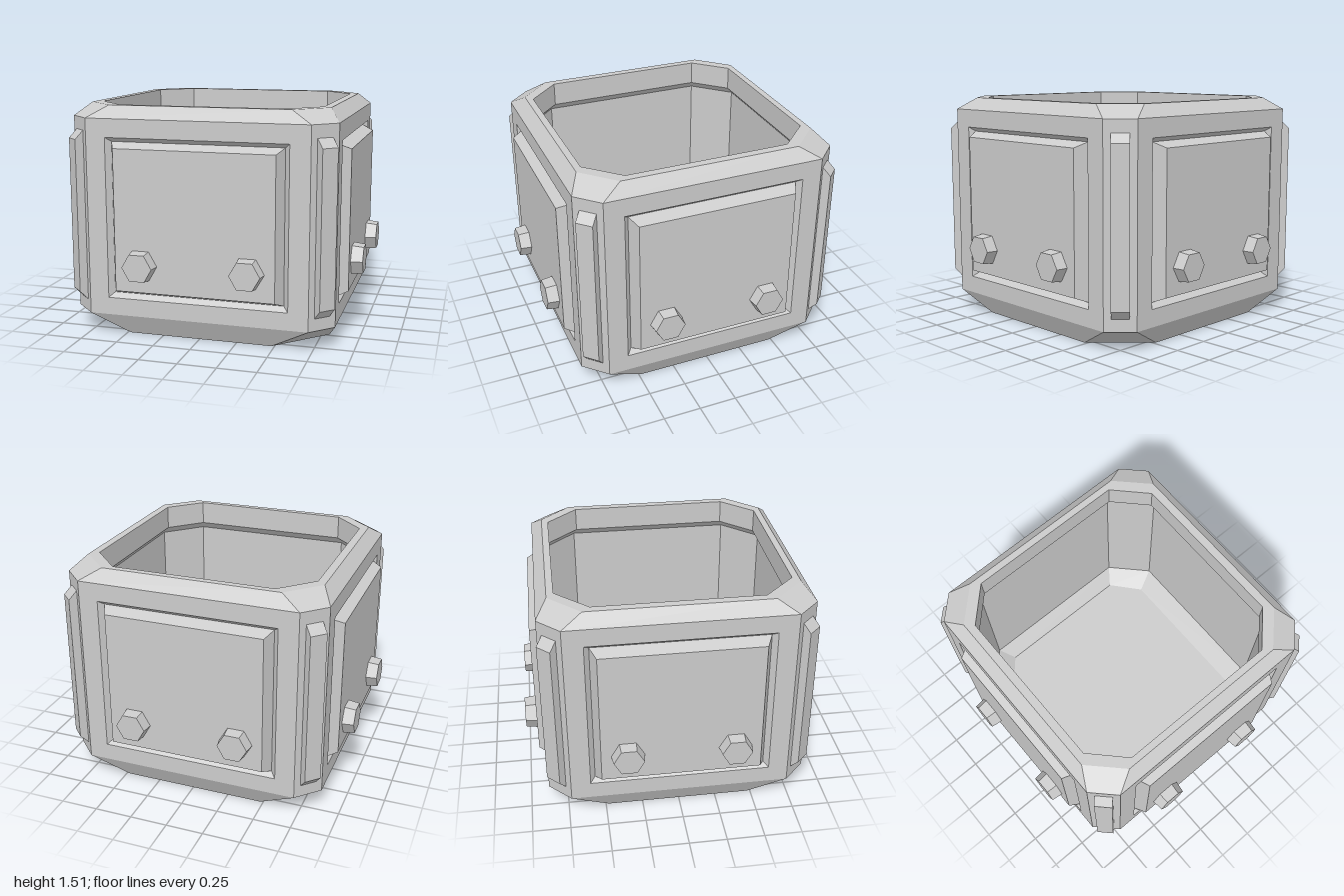
import * as THREE from 'three';

const material = new THREE.MeshStandardMaterial({ color: 0xcccccc, flatShading: true });

// Skins successive loops of points with flat quads; keep(edge) filters edges
function loft(loops, keep = () => true) {
  const pos = [];
  for (let j = 0; j < loops.length - 1; j++) {
    const lo = loops[j], hi = loops[j + 1], n = lo.length;
    for (let i = 0; i < n; i++) {
      if (!keep(i)) continue;
      const k = (i + 1) % n;
      pos.push(...lo[i], ...lo[k], ...hi[k], ...lo[i], ...hi[k], ...hi[i]);
    }
  }
  const geometry = new THREE.BufferGeometry();
  geometry.setAttribute('position', new THREE.Float32BufferAttribute(pos, 3));
  geometry.computeVertexNormals();
  return geometry;
}

// Horizontal octagon: half sizes hx, hz, with flats ending at cx, cz
const octagon = (y, hx, cx, hz = hx, cz = cx) => [
  [-cx, y, hz], [cx, y, hz], [hx, y, cz], [hx, y, -cz],
  [cx, y, -hz], [-cx, y, -hz], [-hx, y, -cz], [-hx, y, cz],
];

// Upright rectangle facing +z
const rect = (z, w, y0, y1) => [[-w, y0, z], [w, y0, z], [w, y1, z], [-w, y1, z]];

function add(parent, name, geometry) {
  const mesh = new THREE.Mesh(geometry, material);
  mesh.name = name;
  parent.add(mesh);
  return mesh;
}

export function createModel() {
  const model = new THREE.Group();
  model.name = 'planter';

  // Tapered foot with closed underside
  add(model, 'foot', loft([
    octagon(0, 0, 0), octagon(0, 0.8, 0.48), octagon(0.14, 0.875, 0.73),
  ]));

  // Four chamfered corner faces
  add(model, 'cornerFaces', loft([
    octagon(0.14, 0.875, 0.73), octagon(1.43, 0.875, 0.73),
  ], (i) => i % 2 === 1));

  // Bevelled rim, undercut lip, inner wall, bevel and floor
  add(model, 'rimAndHollow', loft([
    octagon(1.43, 0.875, 0.73),
    octagon(1.51, 0.8, 0.595),
    octagon(1.51, 0.745, 0.54, 0.755, 0.545),
    octagon(1.35, 0.745, 0.54, 0.755, 0.545),
    octagon(1.3, 0.79, 0.56, 0.8, 0.565),
    octagon(0.21, 0.79, 0.56, 0.8, 0.565),
    octagon(0.12, 0.66, 0.49, 0.705, 0.51),
    octagon(0.12, 0, 0),
  ]));

  // Side: frame, recessed groove and raised panel
  const sideGeometry = loft([
    rect(0.875, 0.73, 0.14, 1.43),
    rect(0.875, 0.6, 0.255, 1.31),
    rect(0.84, 0.567, 0.286, 1.282),
    rect(0.923, 0.527, 0.32, 1.248),
    rect(0.923, 0, 0.78, 0.78),
  ]);

  // Hexagonal bolt, pointing along +z
  const boltGeometry = new THREE.CylinderGeometry(0.1, 0.111, 0.09, 6);
  boltGeometry.rotateY(Math.PI / 6).rotateX(Math.PI / 2);

  // Corner strip with sloped ends
  const stripGeometry = loft([
    rect(1.13, 0.057, 0.215, 1.352),
    rect(1.19, 0.057, 0.28, 1.29),
    rect(1.19, 0, 0.78, 0.78),
  ]);

  for (let k = 0; k < 4; k++) {
    const side = new THREE.Group();
    side.name = 'side';
    side.rotation.y = k * Math.PI / 2;
    add(side, 'panel', sideGeometry);
    for (const s of [-1, 1]) {
      add(side, 'bolt', boltGeometry).position.set(s * 0.352, 0.5, 0.955);
    }
    add(side, 'cornerStrip', stripGeometry).rotation.y = Math.PI / 4;
    model.add(side);
  }
  return model;
}
